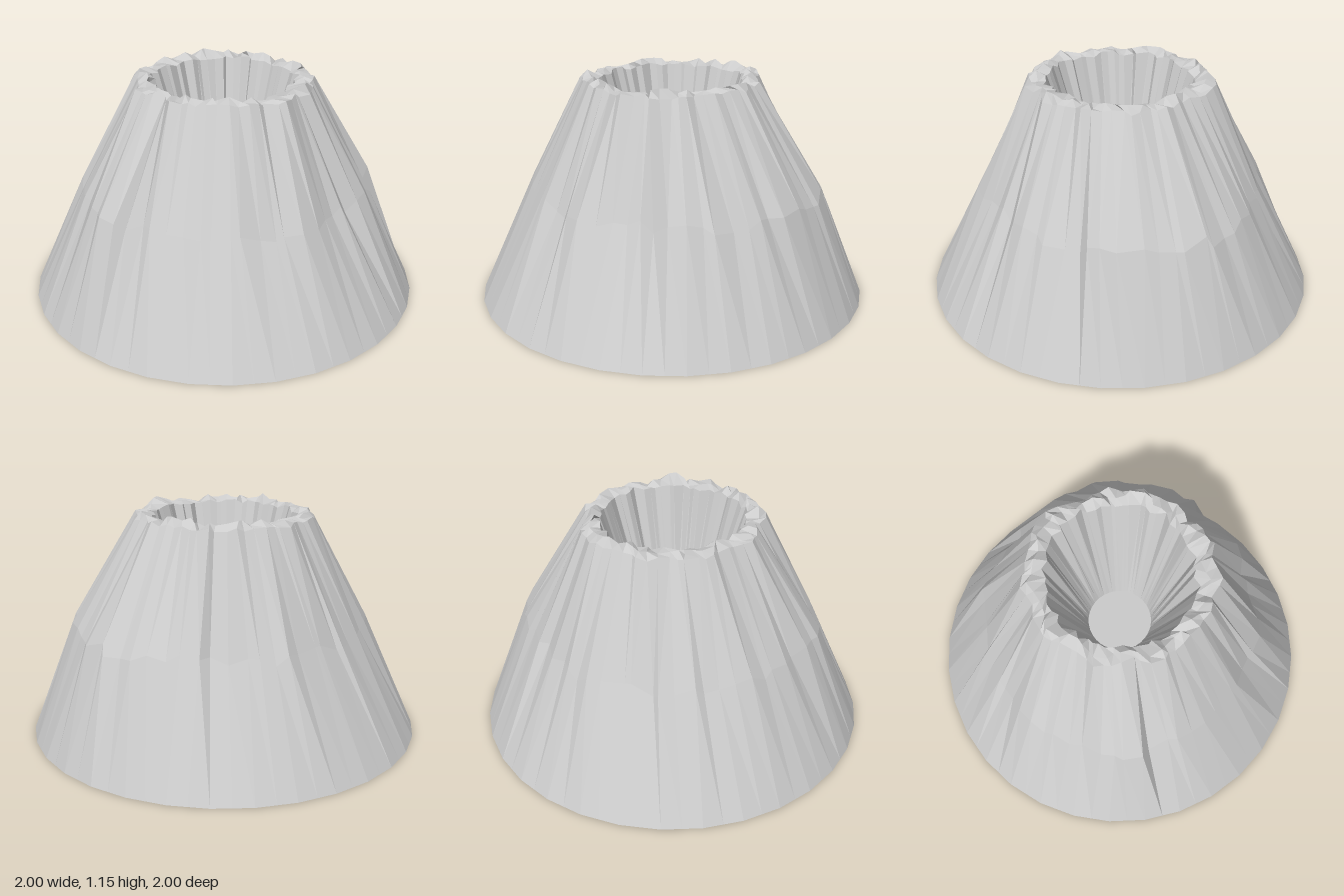
import * as THREE from 'three';

const SEG = 64;
const material = new THREE.MeshStandardMaterial({ color: 0xcccccc, flatShading: true });

// Radii every 11.25 degrees, from +x towards +z
const rimRadii = [
  0.44, 0.47, 0.43, 0.44, 0.43, 0.46, 0.48, 0.43, 0.47, 0.44, 0.45, 0.44, 0.44, 0.45, 0.46, 0.42,
  0.44, 0.46, 0.42, 0.43, 0.47, 0.45, 0.44, 0.47, 0.45, 0.44, 0.46, 0.47, 0.46, 0.42, 0.43, 0.44,
];
const middleRadii = [
  0.77, 0.76, 0.77, 0.75, 0.74, 0.74, 0.69, 0.67, 0.74, 0.73, 0.71, 0.69, 0.72, 0.72, 0.71, 0.75,
  0.76, 0.71, 0.73, 0.74, 0.72, 0.73, 0.72, 0.69, 0.71, 0.75, 0.71, 0.7, 0.73, 0.74, 0.78, 0.78,
];

// Seeded noise in -1..1
let seed = 7;
function noise() {
  seed = (seed * 16807) % 2147483647;
  return (seed / 2147483647) * 2 - 1;
}

// Ring of points: radius (function of the index), height, and jitter of angle, radius, height
function ring(radius, height, jitterAngle = 0, jitterRadius = 0, jitterY = 0) {
  const points = [];
  for (let j = 0; j < SEG; j++) {
    const a = ((j + noise() * jitterAngle) / SEG) * Math.PI * 2;
    const r = radius(j) + noise() * jitterRadius;
    points.push(new THREE.Vector3(Math.cos(a) * r, height + noise() * jitterY, Math.sin(a) * r));
  }
  return points;
}

// Faceted skin over consecutive rings
function skin(name, rings) {
  const pos = [];
  for (let i = 0; i < rings.length - 1; i++) {
    for (let j = 0; j < SEG; j++) {
      const k = (j + 1) % SEG;
      const a = rings[i][j], b = rings[i + 1][j], c = rings[i + 1][k], d = rings[i][k];
      for (const p of [a, b, c, a, c, d]) pos.push(p.x, p.y, p.z);
    }
  }
  const geometry = new THREE.BufferGeometry();
  geometry.setAttribute('position', new THREE.Float32BufferAttribute(pos, 3));
  geometry.computeVertexNormals();
  const mesh = new THREE.Mesh(geometry, material);
  mesh.name = name;
  return mesh;
}

// Flat 32-sided disc facing up or down
function disc(name, radius, y, up) {
  const geometry = new THREE.CircleGeometry(radius, 32);
  geometry.rotateX(up ? -Math.PI / 2 : Math.PI / 2);
  geometry.translate(0, y, 0);
  const mesh = new THREE.Mesh(geometry, material);
  mesh.name = name;
  return mesh;
}

export function createModel() {
  const group = new THREE.Group();
  group.name = 'volcano';

  // Odd points sit on the chord midpoints of a 32-sided outline
  const polygon = (r) => (j) => (j % 2 ? r * Math.cos(Math.PI / 32) : r);
  const fromTable = (table, inset) => (j) => {
    const i = Math.floor(j / 2);
    return (j % 2 ? (table[i] + table[(i + 1) % 32]) / 2 : table[i]) - inset;
  };
  const floorY = 0.47;

  const foot = ring(polygon(1), 0);
  const middle = ring(fromTable(middleRadii, 0), 0.57, 0.4, 0.018, 0.03);
  const outerRim = ring(fromTable(rimRadii, 0), 1.115, 0.4, 0.012, 0.012);
  const crest = ring(fromTable(rimRadii, 0.04), 1.13, 0.4, 0.012, 0.025);
  const innerRim = ring(() => 0.362, 1.115, 0.35, 0.02, 0.012);
  const floorEdge = ring(polygon(0.167), floorY);

  group.add(skin('slopes', [foot, middle, outerRim]));
  group.add(skin('rim', [outerRim, crest, innerRim]));
  group.add(skin('craterWall', [innerRim, floorEdge]));
  group.add(disc('craterFloor', 0.167, floorY, true));
  group.add(disc('base', 1, 0, false));
  return group;
}
